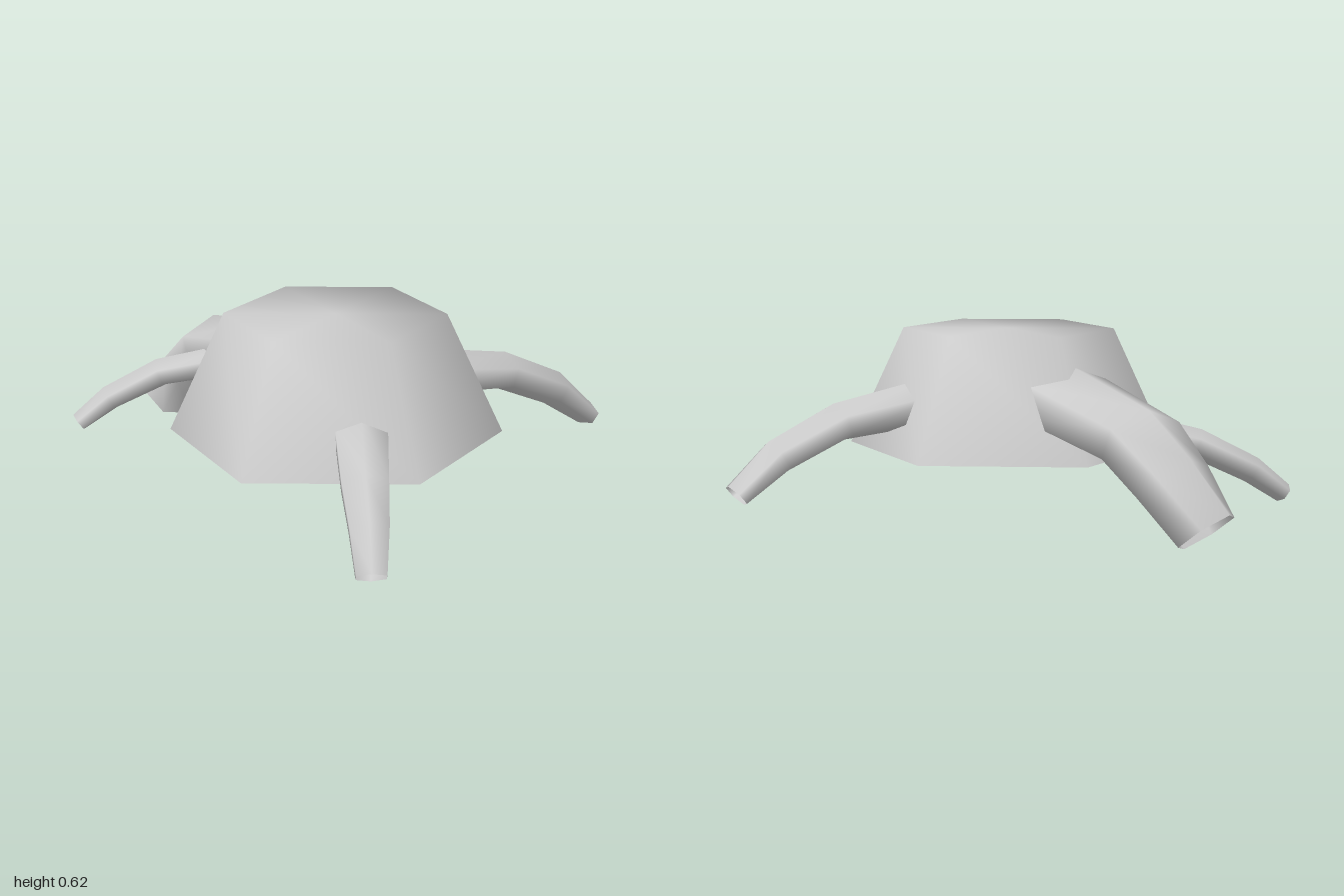
import * as THREE from 'three';
import { mergeVertices } from 'three/addons/utils/BufferGeometryUtils.js';

const material = new THREE.MeshStandardMaterial({ color: 0xcccccc, side: THREE.DoubleSide });
const SIDES = 6;

// Open six-sided tube through rings of [x, y, z, halfWidth, halfHeight]
function taperedTube(rings) {
  const curve = new THREE.CatmullRomCurve3(rings.map(r => new THREE.Vector3(r[0], r[1], r[2])));
  const worldUp = new THREE.Vector3(0, 1, 0);
  const positions = [], index = [];
  rings.forEach(([x, y, z, w, h], i) => {
    const t = curve.getTangent(i / (rings.length - 1));
    const side = worldUp.clone().cross(t).normalize();
    const up = t.clone().cross(side);
    for (let j = 0; j < SIDES; j++) {
      const a = ((j + 0.5) / SIDES) * Math.PI * 2;
      // side corners reach the full half width, a corner points straight up
      const p = new THREE.Vector3(x, y, z)
        .addScaledVector(side, (w * Math.cos(a)) / Math.cos(Math.PI / 6))
        .addScaledVector(up, h * Math.sin(a));
      positions.push(p.x, p.y, p.z);
      if (i < rings.length - 1) {
        const a0 = i * SIDES + j, b0 = i * SIDES + (j + 1) % SIDES;
        index.push(a0, b0, a0 + SIDES, b0, b0 + SIDES, a0 + SIDES);
      }
    }
  });
  const geometry = new THREE.BufferGeometry();
  geometry.setAttribute('position', new THREE.Float32BufferAttribute(positions, 3));
  geometry.setIndex(index);
  geometry.computeVertexNormals();
  return geometry;
}

// Six-sided body, closed on top and open below, smooth over the rim
function bodyGeometry() {
  const profile = [[0.56, 0.195], [0.37, 0.605], [0, 0.605]].map(p => new THREE.Vector2(...p));
  let geometry = new THREE.LatheGeometry(profile, SIDES);
  geometry.deleteAttribute('uv');
  geometry.deleteAttribute('normal');
  geometry = mergeVertices(geometry, 1e-4);
  geometry.computeVertexNormals();
  return geometry;
}

export function createModel() {
  const group = new THREE.Group();
  const add = (name, geometry) => {
    const mesh = new THREE.Mesh(geometry, material);
    mesh.name = name;
    group.add(mesh);
    return mesh;
  };

  add('body', bodyGeometry()).position.set(-0.185, 0, 0.1);

  // Legs, each from its root inside the body out to its tip
  const legs = {
    leftLeg: [
      [0.12, 0.36, 0.122, 0.125, 0.082],
      [0.455, 0.312, 0.122, 0.103, 0.066],
      [0.675, 0.21, 0.122, 0.084, 0.062],
      [0.825, 0.088, 0.123, 0.068, 0.042],
    ],
    largeBackLeg: [
      [-0.225, 0.395, -0.2, 0.165, 0.125],
      [-0.275, 0.305, -0.64, 0.141, 0.11],
      [-0.295, 0.195, -0.8, 0.13, 0.107],
      [-0.355, 0.047, -0.905, 0.117, 0.1],
    ],
    smallBackLeg: [
      [-0.27, 0.33, -0.4, 0.08, 0.058],
      [-0.54, 0.265, -0.565, 0.066, 0.05],
      [-0.71, 0.175, -0.637, 0.054, 0.045],
      [-0.82, 0.092, -0.667, 0.04, 0.034],
    ],
    frontLeg: [
      [-0.28, 0.333, 0.45, 0.085, 0.052],
      [-0.43, 0.272, 0.75, 0.072, 0.044],
      [-0.485, 0.188, 0.875, 0.06, 0.044],
      [-0.527, 0.077, 0.965, 0.046, 0.036],
    ],
  };
  for (const [name, rings] of Object.entries(legs)) add(name, taperedTube(rings));

  return group;
}
